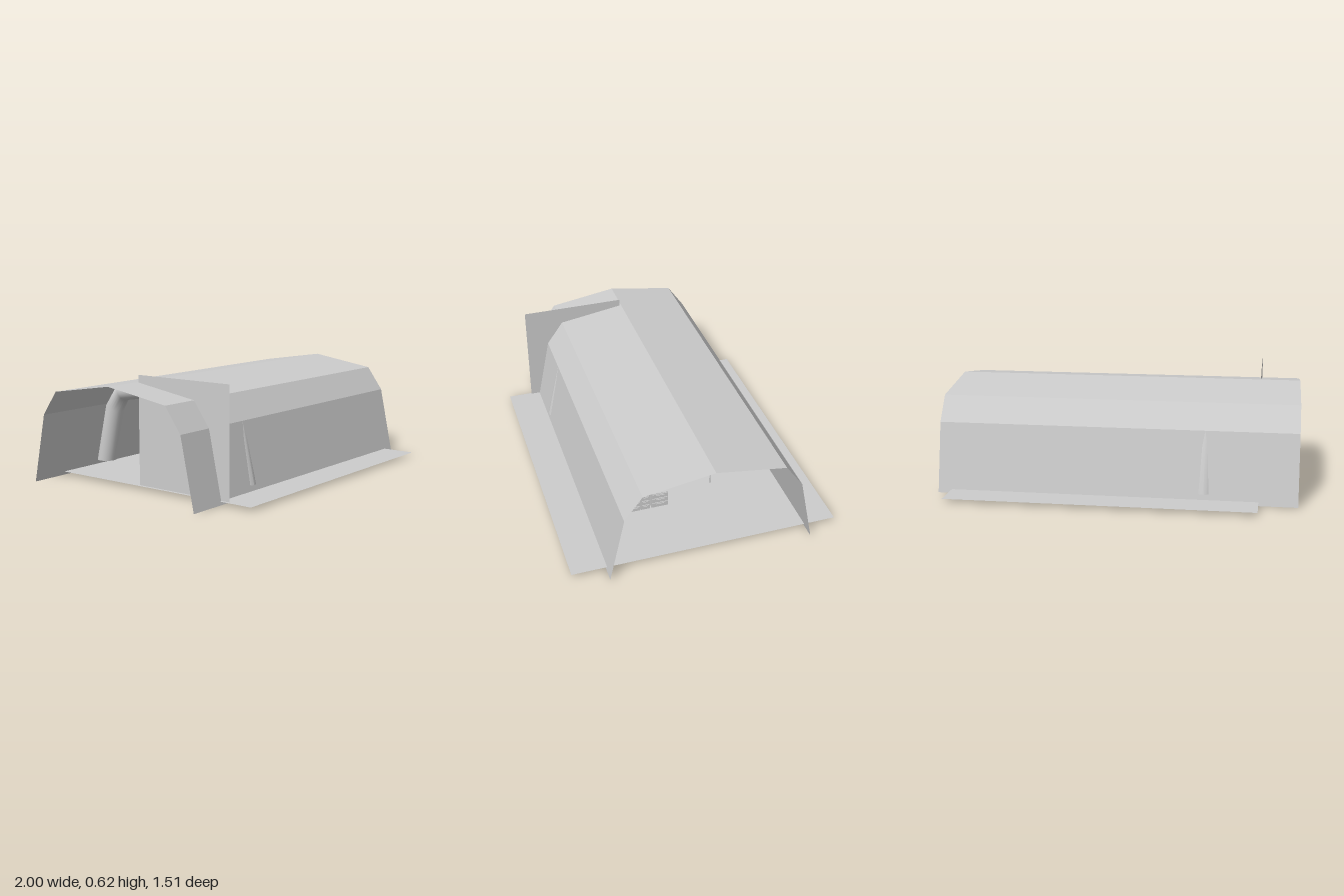
import * as THREE from 'three';

const grey = new THREE.MeshStandardMaterial({ color: 0xcccccc, side: THREE.DoubleSide });
grey.name = 'light grey';

const FLOOR = 0.02;
// Arch profile from back to front as [z, y], outer and inner edges
const outer = [[-0.58, 0.05], [-0.5, 0.388], [-0.402, 0.524], [-0.009, 0.585], [0.382, 0.524], [0.48, 0.388], [0.559, 0.05]];
const inner = [[-0.467, 0.05], [-0.401, 0.348], [-0.362, 0.42], [-0.009, 0.477], [0.342, 0.42], [0.38, 0.348], [0.447, 0.05]];

function add(parent, name, geometry, x = 0, y = 0, z = 0) {
  const mesh = new THREE.Mesh(geometry, grey);
  mesh.name = name;
  mesh.position.set(x, y, z);
  parent.add(mesh);
  return mesh;
}
const box = (p, name, w, h, d, x, y, z) => add(p, name, new THREE.BoxGeometry(w, h, d), x, y, z);
const rod = (p, name, r, h, x, y, z) => add(p, name, new THREE.CylinderGeometry(r, r, h, 10), x, y, z);

function group(parent, name, x = 0, y = 0, z = 0) {
  const g = new THREE.Group();
  g.name = name;
  g.position.set(x, y, z);
  parent.add(g);
  return g;
}

// Thin folded canopy, running the full length
function canopyGeometry() {
  const profile = outer.map((p) => [...p]);
  profile[0] = [-0.583, 0];
  profile[6] = [0.563, 0];
  const plane = new THREE.PlaneGeometry(2, 1, 1, profile.length - 1);
  const pos = plane.attributes.position;
  for (let i = 0; i < pos.count; i++) {
    const [z, y] = profile[Math.floor(i / 2)];
    pos.setXYZ(i, pos.getX(i), y, z);
  }
  const flat = plane.toNonIndexed();
  flat.computeVertexNormals();
  return flat;
}

// Round arch tube with mitred bends
function archGeometry(radius) {
  const sides = 24;
  const tube = new THREE.CylinderGeometry(1, 1, 1, sides, outer.length - 1, true);
  const pos = tube.attributes.position;
  for (let i = 0; i < pos.count; i++) {
    const row = Math.floor(i / (sides + 1));
    const [oz, oy] = outer[row], [iz, iy] = inner[row];
    const t = (1 + pos.getZ(i)) / 2;
    pos.setXYZ(i, pos.getX(i) * radius, iy + (oy - iy) * t, iz + (oz - iz) * t);
  }
  tube.computeVertexNormals();
  return tube;
}

// Stand with a crossed foot and a hooked top
function addStand(parent, x, z) {
  const g = group(parent, 'dripStand', x, FLOOR, z);
  rod(g, 'pole', 0.003, 0.255, 0, 0.132, 0);
  box(g, 'topBar', 0.006, 0.004, 0.06, 0, 0.26, 0);
  for (const s of [-1, 1]) {
    box(g, 'hook', 0.006, 0.018, 0.008, 0, 0.25, s * 0.026);
    const foot = box(g, 'foot', 0.09, 0.005, 0.005, 0, 0.006, 0);
    foot.rotation.y = s * Math.PI / 4;
  }
}

export function createModel() {
  const model = new THREE.Group();
  model.name = 'shelter';

  // Shelter
  add(model, 'canopy', canopyGeometry());
  add(model, 'archTube', archGeometry(0.055), -0.49);
  const floor = add(model, 'floor', new THREE.PlaneGeometry(1.71, 1.515), 0.068, FLOOR, -0.003);
  floor.rotation.x = -Math.PI / 2;
  const wall = add(model, 'partition', new THREE.PlaneGeometry(0.613, 0.603), -0.775, 0.3235, 0.3065);
  wall.rotation.y = Math.PI / 2;

  // Drawer cabinets: three units with three drawers each
  const cabinets = group(model, 'cabinets', 0.5, FLOOR, 0);
  box(cabinets, 'sideUnit', 0.09, 0.095, 0.05, 0, 0.0475, 0.395);
  for (const z of [0.34, 0.285, 0.23, 0.145]) {
    const depth = z < 0.2 ? 0.098 : 0.052;
    box(cabinets, 'cabinetBody', 0.08, 0.098, depth, 0, 0.049, z);
    for (let row = 0; row < 3; row++) {
      const y = 0.02 + row * 0.031;
      box(cabinets, 'drawerFront', 0.006, 0.025, depth - 0.008, 0.042, y, z);
      box(cabinets, 'drawerHandle', 0.005, 0.005, depth * 0.5, 0.047, y + 0.005, z);
    }
  }
  for (const z of [0.33, 0.25, 0.12]) box(cabinets, 'tray', 0.04, 0.012, 0.03, 0, 0.105, z);

  // Long table with screen
  const table = group(model, 'table', 0.375, FLOOR, 0);
  box(table, 'tableTop', 0.13, 0.008, 0.43, 0, 0.096, 0);
  box(table, 'tableRail', 0.11, 0.014, 0.4, 0, 0.085, 0);
  for (const x of [-0.052, 0.052])
    for (const z of [-0.198, 0.198]) rod(table, 'tableLeg', 0.004, 0.098, x, 0.046, z);
  box(table, 'screenBase', 0.03, 0.006, 0.035, 0, 0.103, -0.155);
  const screen = box(table, 'screen', 0.012, 0.06, 0.068, 0, 0.145, -0.155);
  screen.rotation.z = 0.12;
  box(table, 'instrument', 0.03, 0.018, 0.025, 0, 0.109, -0.07);

  // Wheeled stretcher
  const bed = group(model, 'stretcher', -0.07, FLOOR, -0.31);
  box(bed, 'bedFrame', 0.09, 0.01, 0.24, 0, 0.1, 0);
  box(bed, 'mattress', 0.08, 0.018, 0.17, 0, 0.113, 0.03);
  const back = box(bed, 'backrest', 0.08, 0.016, 0.08, 0, 0.137, -0.085);
  back.rotation.x = 0.5;
  for (const x of [-0.047, 0.047]) {
    box(bed, 'sideRail', 0.004, 0.005, 0.18, x, 0.143, 0.025);
    for (let i = 0; i < 8; i++) box(bed, 'railPost', 0.004, 0.04, 0.004, x, 0.123, -0.06 + i * 0.024);
  }
  for (const x of [-0.035, 0.035])
    for (const end of [0.13, -0.065])
      for (const s of [-0.017, 0.017]) {
        rod(bed, 'bedLeg', 0.004, 0.085, x, 0.056, end + s);
        const wheel = rod(bed, 'wheel', 0.009, 0.006, x, 0.01, end + s);
        wheel.rotation.z = Math.PI / 2;
      }

  // Stands either side of the stretcher
  addStand(model, 0.16, -0.215);
  addStand(model, -0.305, -0.25);
  return model;
}
